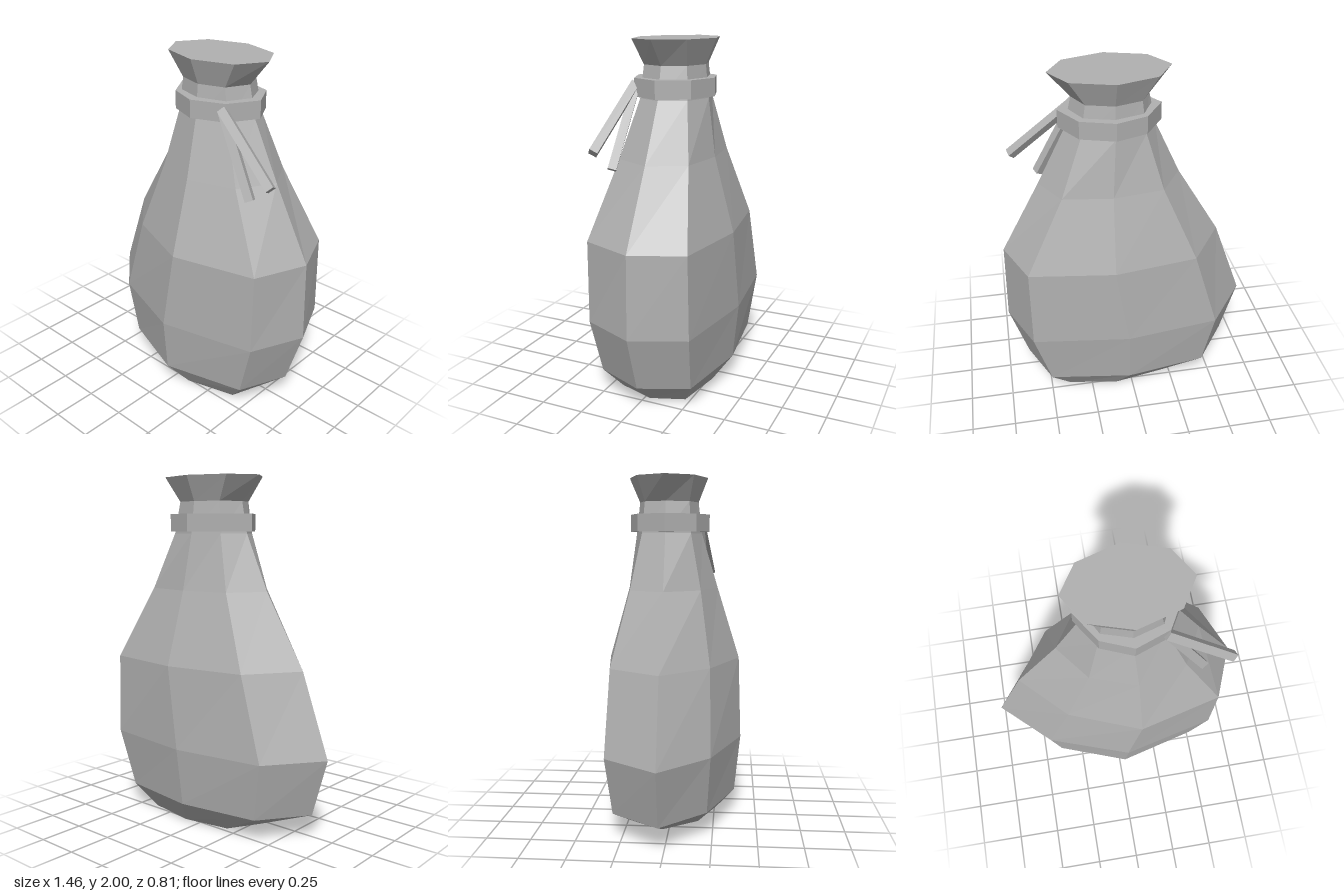
import * as THREE from 'three';

const cloth = new THREE.MeshStandardMaterial({ color: 0xb0b0b0, flatShading: true });
cloth.name = 'grey cloth';

const SIDE_Z = -0.03;

// Ring of eight corners: x = [left, frontLeft, front, frontRight, right, backRight, back, backLeft],
// z = [frontLeft, front, frontRight, backRight, back, backLeft]
function ring(y, x, z) {
  const depth = [SIDE_Z, z[0], z[1], z[2], SIDE_Z, z[3], z[4], z[5]];
  return x.map((px, i) => [px, y, depth[i]]);
}

// Skin a stack of rings and close both ends
function loft(name, rings) {
  const n = 8, index = [];
  for (let k = 0; k < rings.length - 1; k++) {
    for (let i = 0; i < n; i++) {
      const a = k * n + i, b = k * n + (i + 1) % n;
      index.push(a, b, b + n, a, b + n, a + n);
    }
  }
  const top = (rings.length - 1) * n;
  for (let i = 1; i < n - 1; i++) {
    index.push(0, i + 1, i);
    index.push(top, top + i, top + i + 1);
  }
  const indexed = new THREE.BufferGeometry();
  indexed.setAttribute('position', new THREE.Float32BufferAttribute(rings.flat(2), 3));
  indexed.setIndex(index);
  const geometry = indexed.toNonIndexed();
  geometry.computeVertexNormals();
  const mesh = new THREE.Mesh(geometry, cloth);
  mesh.name = name;
  return mesh;
}

// Square cord running between two points
function cord(name, from, to) {
  const a = new THREE.Vector3(...from), b = new THREE.Vector3(...to);
  const dir = b.clone().sub(a);
  const geometry = new THREE.CylinderGeometry(0.033, 0.033, dir.length(), 4).toNonIndexed();
  geometry.computeVertexNormals();
  const mesh = new THREE.Mesh(geometry, cloth);
  mesh.position.copy(a).add(b).multiplyScalar(0.5);
  mesh.quaternion.setFromUnitVectors(new THREE.Vector3(0, 1, 0), dir.normalize());
  mesh.name = name;
  return mesh;
}

export function createModel() {
  const group = new THREE.Group();
  group.name = 'tiedSack';

  // Sagging body, pinched neck and flared mouth
  group.add(loft('sackBody', [
    ring(0, [-0.29, -0.15, 0.10, 0.39, 0.46, 0.39, 0.10, -0.18], [0.16, 0.26, 0.18, -0.22, -0.27, -0.22]),
    ring(0.14, [-0.635, -0.385, 0.03, 0.50, 0.62, 0.50, 0.03, -0.44], [0.22, 0.37, 0.25, -0.30, -0.37, -0.30]),
    ring(0.47, [-0.73, -0.44, 0.04, 0.59, 0.725, 0.595, 0.04, -0.50], [0.24, 0.405, 0.275, -0.33, -0.405, -0.335]),
    ring(0.94, [-0.56, -0.30, 0.115, 0.595, 0.715, 0.595, 0.115, -0.36], [0.23, 0.39, 0.27, -0.32, -0.39, -0.32]),
    ring(1.36, [-0.31, -0.155, 0.105, 0.38, 0.49, 0.38, 0.105, -0.18], [0.17, 0.26, 0.18, -0.23, -0.27, -0.23]),
    ring(1.68, [-0.165, -0.09, 0.083, 0.26, 0.33, 0.26, 0.083, -0.09], [0.11, 0.165, 0.11, -0.17, -0.22, -0.17]),
    ring(1.86, [-0.13, -0.07, 0.08, 0.23, 0.29, 0.23, 0.08, -0.07], [0.10, 0.145, 0.10, -0.155, -0.20, -0.155]),
    ring(2, [-0.25, -0.15, 0.08, 0.315, 0.41, 0.315, 0.08, -0.15], [0.13, 0.20, 0.13, -0.19, -0.26, -0.19]),
  ]));

  // Band tied around the neck
  const bandX = [-0.20, -0.09, 0.083, 0.27, 0.365, 0.27, 0.083, -0.09];
  const bandZ = [0.14, 0.21, 0.14, -0.195, -0.255, -0.195];
  group.add(loft('neckBand', [ring(1.69, bandX, bandZ), ring(1.79, bandX, bandZ)]));

  // Loose ends of the tie
  group.add(cord('upperCordEnd', [0.25, 1.755, 0.145], [0.625, 1.435, 0.20]));
  group.add(cord('lowerCordEnd', [0.255, 1.74, 0.14], [0.475, 1.32, 0.175]));
  return group;
}
